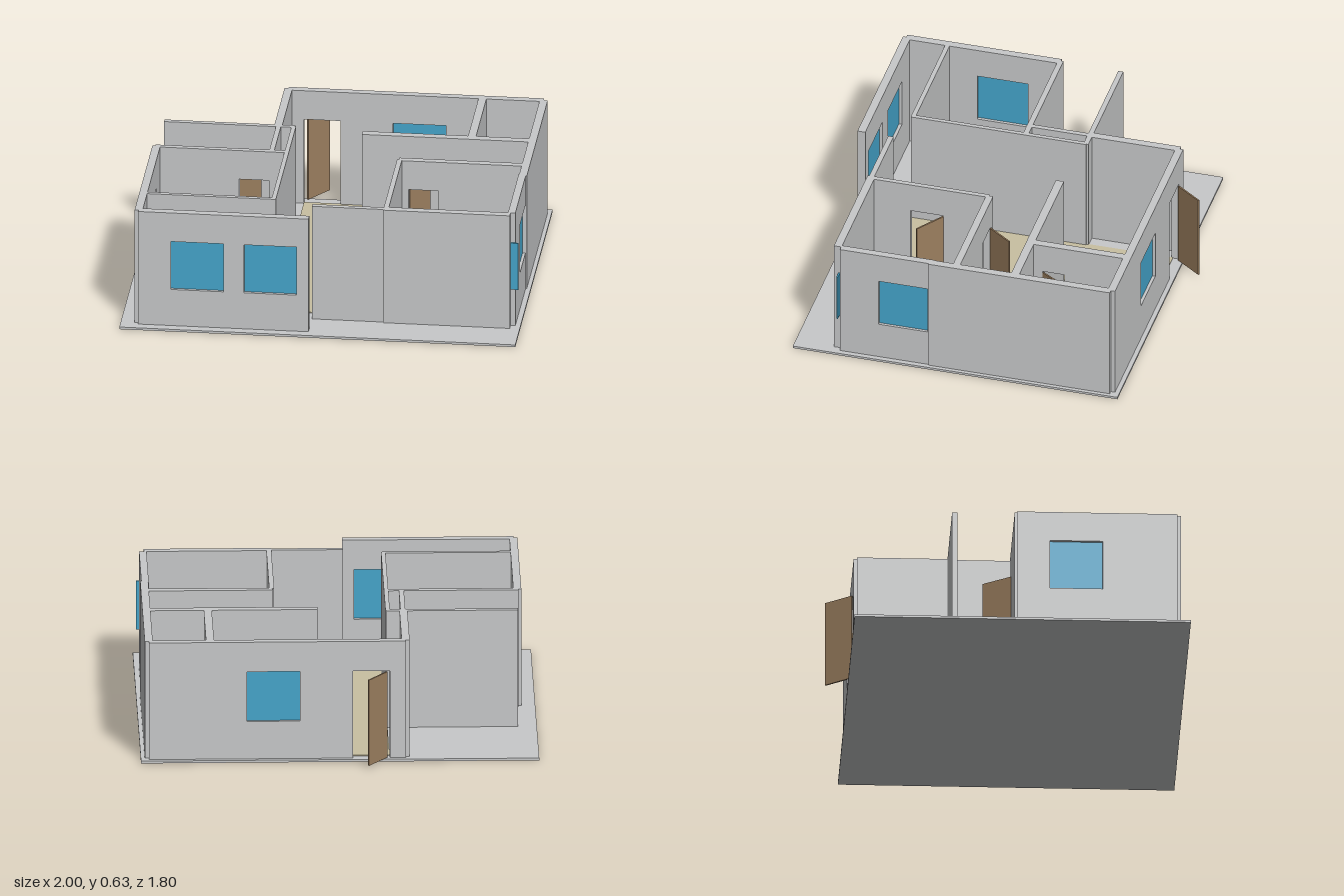
import * as THREE from 'three';

const FLOOR = 0.012, TOP = 0.63, SILL = 0.21, HEAD = 0.473;

export function createModel() {
  const house = new THREE.Group();
  house.name = 'house';
  const mat = (name, color) => {
    const m = new THREE.MeshStandardMaterial({ color });
    m.name = name;
    return m;
  };
  const plaster = mat('grey plaster', 0xc8c9ca);
  const glass = mat('blue glass', 0x45a6cc);
  const wood = mat('brown wood', 0x9d8060);
  const tan = mat('tan floor', 0xc9c0a2);

  const add = (name, geometry, material) => {
    const mesh = new THREE.Mesh(geometry, material);
    mesh.name = name;
    house.add(mesh);
    return mesh;
  };
  const box = (name, x0, x1, y0, y1, z0, z1, material) =>
    add(name, new THREE.BoxGeometry(x1 - x0, y1 - y0, z1 - z0)
      .translate((x0 + x1) / 2, (y0 + y1) / 2, (z0 + z1) / 2), material);

  // Wall with door notches and glazed window holes, given as ranges along its length
  function wall(name, x0, x1, z0, z1, { doors = [], windows = [] } = {}) {
    const alongX = x1 - x0 > z1 - z0;
    const [a, b, depth] = alongX ? [x0, x1, z1 - z0] : [z0, z1, x1 - x0];
    const shape = new THREE.Shape();
    shape.moveTo(a, FLOOR);
    for (const [d0, d1] of doors) {
      shape.lineTo(d0, FLOOR);
      shape.lineTo(d0, HEAD);
      shape.lineTo(d1, HEAD);
      shape.lineTo(d1, FLOOR);
    }
    shape.lineTo(b, FLOOR);
    shape.lineTo(b, TOP);
    shape.lineTo(a, TOP);
    shape.closePath();
    for (const [w0, w1] of windows) {
      const hole = new THREE.Path();
      hole.moveTo(w0, SILL);
      hole.lineTo(w0, HEAD);
      hole.lineTo(w1, HEAD);
      hole.lineTo(w1, SILL);
      hole.closePath();
      shape.holes.push(hole);
    }
    const geometry = new THREE.ExtrudeGeometry(shape, { depth, bevelEnabled: false });
    if (alongX) geometry.translate(0, 0, z0);
    else geometry.rotateY(-Math.PI / 2).translate(x1, 0, 0);
    add(name, geometry, plaster);

    // Panes set in the middle of the wall
    const mid = alongX ? (z0 + z1) / 2 : (x0 + x1) / 2;
    for (const [w0, w1] of windows) {
      if (alongX) box('windowPane', w0, w1, SILL, HEAD, mid - 0.004, mid + 0.004, glass);
      else box('windowPane', mid - 0.004, mid + 0.004, SILL, HEAD, w0, w1, glass);
    }
  }

  // Open door leaf from its hinge point to its free edge
  function door(name, hx, hz, ex, ez) {
    const length = Math.hypot(ex - hx, ez - hz);
    const leaf = box(name, 0, length, 0.016, 0.47, -0.004, 0.004, wood);
    leaf.position.set(hx, 0, hz);
    leaf.rotation.y = -Math.atan2(ez - hz, ex - hx);
  }

  // Ground slab and hall floor
  box('slab', -1, 1, 0, FLOOR, -0.79, 0.9, plaster);
  const floors = [
    [-0.25, 0.635, -0.735, -0.24],
    [-0.25, 0.32, -0.24, 0.06],
    [-0.24, 0.315, 0.06, 0.62],
    [-0.05, 0.315, 0.62, 0.67],
  ];
  for (const [x0, x1, z0, z1] of floors) box('hallFloor', x0, x1, FLOOR, 0.016, z0, z1, tan);

  // Outer walls
  wall('backWall', -0.33, 0.96, -0.767, -0.728, { doors: [[-0.25, -0.065]], windows: [[0.2, 0.468]] });
  wall('backCornerWall', -0.35, -0.31, -0.75, -0.27);
  wall('eastWallBack', 0.94, 0.98, -0.745, 0.2);
  wall('eastWallFront', 0.937, 0.974, 0.18, 0.662, { windows: [[0.205, 0.46]] });
  wall('frontWallEast', 0.31, 0.95, 0.66, 0.7);
  wall('frontWallEntry', -0.05, 0.32, 0.665, 0.692);
  wall('frontWallWest', -0.91, -0.05, 0.812, 0.853, { windows: [[-0.745, -0.48], [-0.375, -0.11]] });
  wall('westWall', -0.93, -0.89, 0.03, 0.835, { windows: [[0.195, 0.46]] });
  wall('westRoomBackWall', -0.915, -0.25, 0.018, 0.046, { doors: [[-0.49, -0.34]] });
  wall('gardenWall', -0.905, -0.245, -0.296, -0.27);

  // Inner walls
  wall('shaftWall', -0.34, -0.315, -0.28, 0.03);
  wall('hallWestWall', -0.262, -0.24, -0.285, 0.625);
  wall('westRoomFrontWall', -0.9, -0.245, 0.605, 0.628);
  wall('storeWall', 0.632, 0.672, -0.735, -0.25, { doors: [[-0.425, -0.31]] });
  wall('kitchenWall', 0.1, 0.945, -0.264, -0.222);
  wall('eastRoomBackWall', 0.32, 0.945, 0.044, 0.08, { doors: [[0.37, 0.52]] });
  wall('eastRoomWestWall', 0.31, 0.335, 0.065, 0.67, { doors: [[0.3, 0.47]] });

  // Glass strip showing at the front corner
  box('cornerPane', 0.82, 0.99, 0.215, 0.47, 0.668, 0.676, glass);

  // Doors
  door('backDoor', -0.235, -0.77, -0.14, -0.9);
  door('westRoomDoor', -0.495, 0.02, -0.4, -0.12);
  door('storeDoor', 0.675, -0.315, 0.73, -0.4);
  door('eastRoomBackDoor', 0.37, 0.044, 0.46, -0.08);
  door('eastRoomSideDoor', 0.335, 0.3, 0.475, 0.4);

  return house;
}
